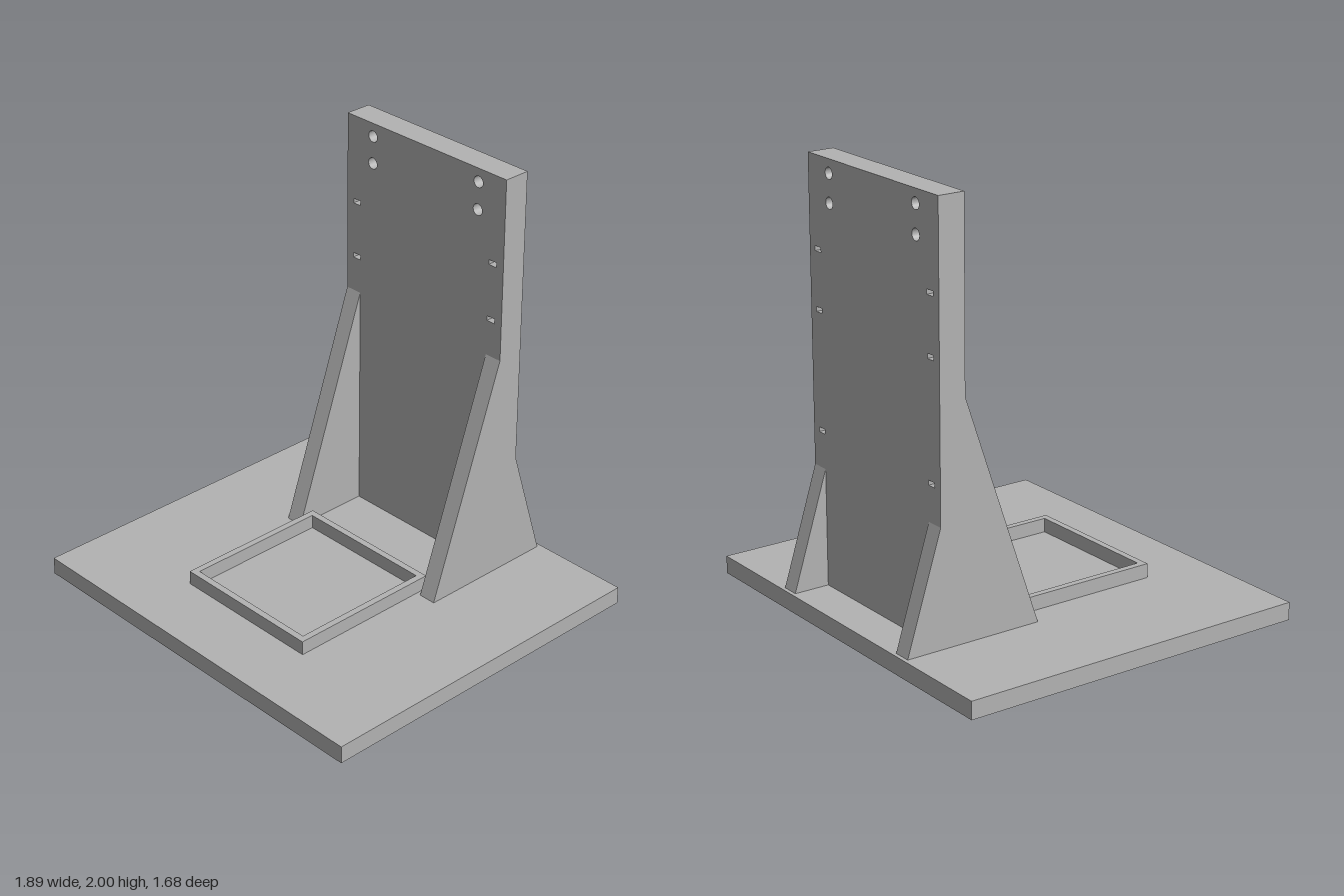
import * as THREE from 'three';

const BASE_TOP = 0.082;
const HALF_W = 0.474, RIB_IN = 0.39;
const PLATE_FRONT = -0.528, PLATE_BACK = -0.653;

// Closed rectangle outline, usable as a shape or a hole
function rect(target, x0, y0, x1, y1) {
  target.moveTo(x0, y0);
  target.lineTo(x1, y0);
  target.lineTo(x1, y1);
  target.lineTo(x0, y1);
  target.closePath();
  return target;
}

function extrude(shape, depth) {
  return new THREE.ExtrudeGeometry(shape, { depth, bevelEnabled: false, curveSegments: 24 });
}

export function createModel() {
  const group = new THREE.Group();
  const grey = new THREE.MeshStandardMaterial({ color: 0xb2b2b2 });
  grey.name = 'plain grey';

  const add = (name, geometry) => {
    const mesh = new THREE.Mesh(geometry, grey);
    mesh.name = name;
    group.add(mesh);
    return mesh;
  };

  // Base slab
  add('base', new THREE.BoxGeometry(1.892, BASE_TOP, 1.68)).position.y = BASE_TOP / 2;

  // Upright plate with round bolt holes and small slots
  const plate = rect(new THREE.Shape(), -HALF_W, BASE_TOP, HALF_W, 2);
  for (const s of [-1, 1]) {
    for (const y of [1.938, 1.811]) {
      plate.holes.push(new THREE.Path().absarc(s * 0.316, y, 0.026, 0, Math.PI * 2, true));
    }
    for (const y of [1.594, 1.328, 0.79]) {
      plate.holes.push(rect(new THREE.Path(), s * 0.412 - 0.022, y - 0.011, s * 0.412 + 0.022, y + 0.011));
    }
  }
  add('uprightPlate', extrude(plate, PLATE_FRONT - PLATE_BACK)).position.z = PLATE_BACK;

  // Triangular ribs in front of and behind the plate, drawn in (-z, y)
  const rib = (name, wallZ, toeZ, topY, x) => {
    const shape = new THREE.Shape([
      new THREE.Vector2(-wallZ, BASE_TOP),
      new THREE.Vector2(-toeZ, BASE_TOP),
      new THREE.Vector2(-wallZ, topY),
    ]);
    add(name, extrude(shape, HALF_W - RIB_IN).rotateY(Math.PI / 2)).position.x = x;
  };
  for (const [side, x] of [['left', RIB_IN], ['right', -HALF_W]]) {
    rib(side + 'FrontRib', PLATE_FRONT, -0.158, 1.153, x);
    rib(side + 'BackRib', PLATE_BACK, -0.822, 0.62, x);
  }

  // Raised square rim on the base
  const rim = rect(new THREE.Shape(), -0.369, -0.524, 0.369, 0.214);
  rim.holes.push(rect(new THREE.Path(), -0.338, -0.493, 0.338, 0.183));
  add('squareRim', extrude(rim, 0.066).rotateX(-Math.PI / 2)).position.y = BASE_TOP;

  return group;
}
